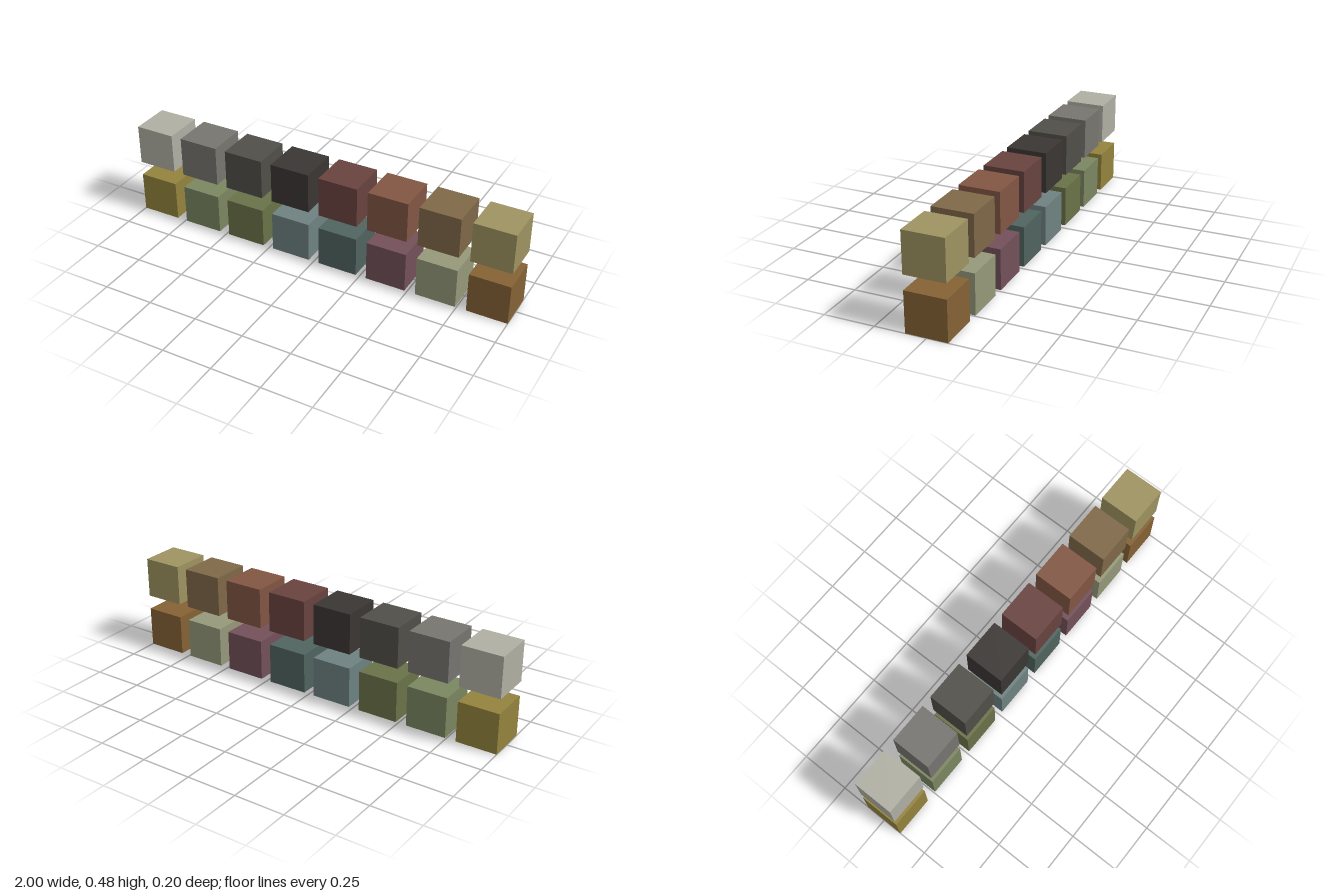
import * as THREE from 'three';

const SIZE = 0.2025;
const PITCH_X = (2 - SIZE) / 7;
const PITCH_Y = 0.2755;

// Block colours from -x to +x, one list per row, bottom row first
const ROWS = [
  { name: 'lowerBlock', colors: [0x94833e, 0x7b8661, 0x6a7248, 0x6e8281, 0x50645f, 0x73505a, 0x96997a, 0x856235] },
  { name: 'upperBlock', colors: [0xafafa3, 0x777570, 0x504f49, 0x3b3633, 0x68433f, 0x825643, 0x7f6848, 0x9e9361] },
];

export function createModel() {
  const model = new THREE.Group();
  model.name = 'colourBlocks';
  const cube = new THREE.BoxGeometry(SIZE, SIZE, SIZE);

  // Two evenly spaced rows of eight separate cubes
  ROWS.forEach(({ name, colors }, row) => {
    colors.forEach((color, i) => {
      const block = new THREE.Mesh(cube, new THREE.MeshStandardMaterial({ color }));
      block.name = `${name}${i + 1}`;
      block.position.set((i - 3.5) * PITCH_X, SIZE / 2 + row * PITCH_Y, 0);
      model.add(block);
    });
  });
  return model;
}
